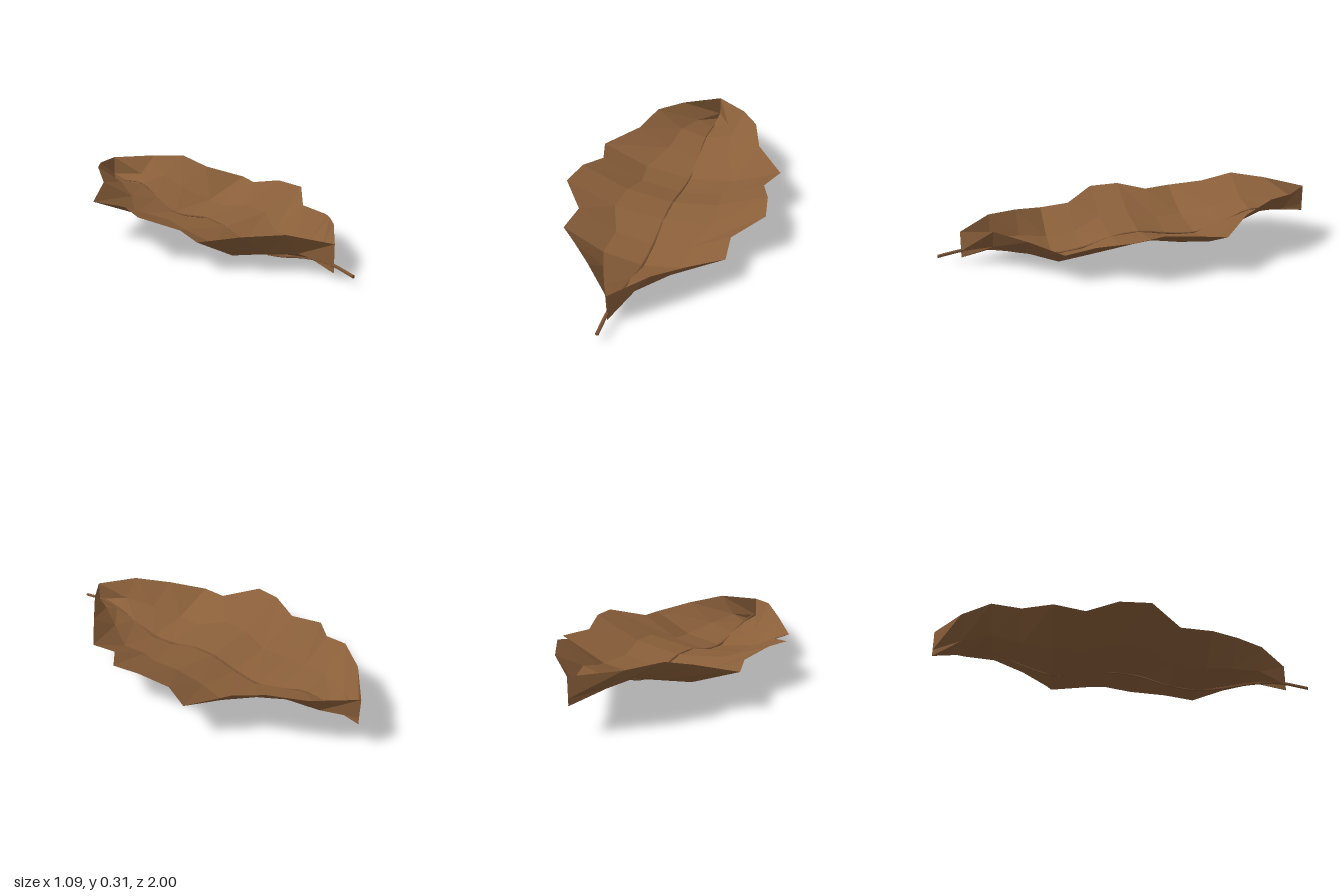
import * as THREE from 'three';

// Leaf rows from the tip (back) to the stem end (front): [half width, midline height]
const ROWS = [
  [0, 0.152], [0.19, 0.165], [0.3, 0.175], [0.36, 0.122], [0.52, 0.065],
  [0.465, 0.065], [0.52, 0.095], [0.547, 0.08], [0.41, 0.025], [0.427, 0.004],
  [0.292, 0.04], [0.155, 0.062], [0, 0.026],
];
const Z_BACK = -1, Z_FRONT = 0.88, EDGE_LIFT = 0.139;

// Midrib and stem heights, evenly spaced from front to back
const RIB = [0.042, 0.068, 0.058, 0.026, 0.01, 0.034, 0.08, 0.094, 0.074, 0.07, 0.12, 0.178, 0.169, 0.155];

// Curled blade: a grid whose cross-sections are shallow parabolas
function bladeGeometry() {
  const columns = 4, rows = ROWS.length - 1;
  const geo = new THREE.PlaneGeometry(2, 2, columns, rows).rotateX(-Math.PI / 2);
  const pos = geo.attributes.position;
  for (let i = 0; i < pos.count; i++) {
    const row = Math.floor(i / (columns + 1));
    const t = pos.getX(i);
    const [half, height] = ROWS[row];
    pos.setXYZ(i, t * half, height + EDGE_LIFT * t * t, Z_BACK + (Z_FRONT - Z_BACK) * row / rows);
  }
  geo.computeVertexNormals();
  return geo;
}

// Tapered rod bent along the wavy midline
function ribGeometry() {
  const last = RIB.length - 1;
  const path = new THREE.CatmullRomCurve3(RIB.map((y, i) => new THREE.Vector3(0, y, 1 - 2 * i / last)));
  const geo = new THREE.CylinderGeometry(0.009, 0.003, 2, 6, 39).rotateX(Math.PI / 2);
  const pos = geo.attributes.position;
  for (let i = 0; i < pos.count; i++) {
    const p = path.getPoint(THREE.MathUtils.clamp((1 - pos.getZ(i)) / 2, 0, 1));
    pos.setXYZ(i, pos.getX(i), pos.getY(i) + p.y, p.z);
  }
  geo.computeVertexNormals();
  return geo;
}

export function createModel() {
  const model = new THREE.Group();
  model.name = 'dryLeaf';

  const leafBrown = new THREE.MeshStandardMaterial({ color: 0x8a5f3a, flatShading: true, side: THREE.DoubleSide });
  leafBrown.name = 'leafBrown';
  const stemBrown = new THREE.MeshStandardMaterial({ color: 0x7c5434, flatShading: true });
  stemBrown.name = 'stemBrown';

  const blade = new THREE.Mesh(bladeGeometry(), leafBrown);
  blade.name = 'leafBlade';
  const rib = new THREE.Mesh(ribGeometry(), stemBrown);
  rib.name = 'midribAndStem';
  model.add(blade, rib);
  return model;
}
